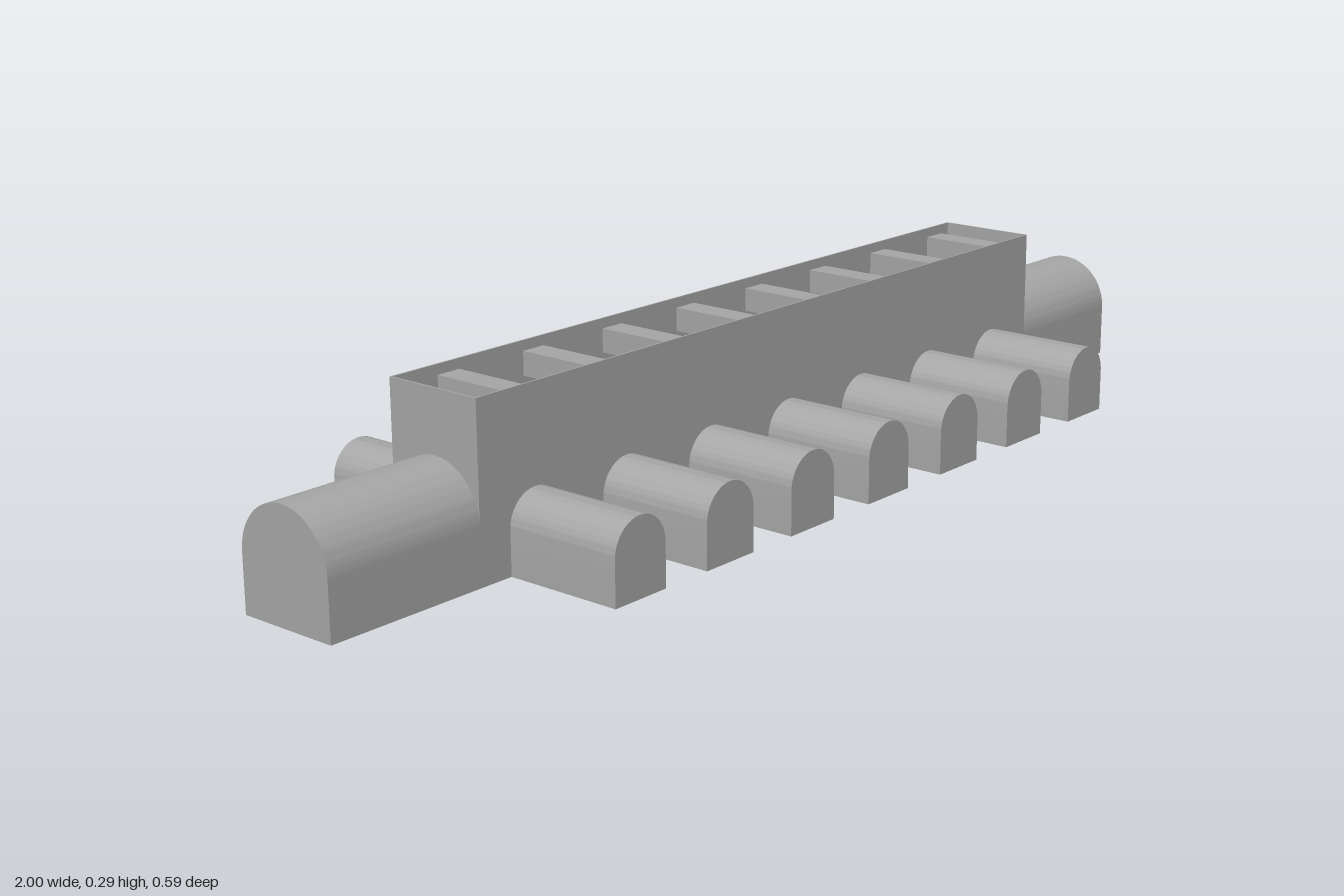
import * as THREE from 'three';
import { toCreasedNormals } from 'three/addons/utils/BufferGeometryUtils.js';

const HALF_LENGTH = 0.715, HALF_WIDTH = 0.09, HEIGHT = 0.287, WALL = 0.003;

// Straight-sided block with a half-round top, running along +z from z = 0
function archGeometry(radius, height, length) {
  const shape = new THREE.Shape();
  shape.moveTo(-radius, 0);
  shape.lineTo(radius, 0);
  shape.lineTo(radius, height - radius);
  shape.absarc(0, height - radius, radius, 0, Math.PI, false);
  shape.closePath();
  const geometry = new THREE.ExtrudeGeometry(shape, { depth: length, bevelEnabled: false, curveSegments: 32 });
  return toCreasedNormals(geometry, 0.5);
}

export function createModel() {
  const model = new THREE.Group();
  model.name = 'channelBlock';
  const grey = new THREE.MeshStandardMaterial({ color: 0xa6a6a6 });
  grey.name = 'grey';

  const add = (name, geometry, x, y, z, turn = 0) => {
    const mesh = new THREE.Mesh(geometry, grey);
    mesh.name = name;
    mesh.position.set(x, y, z);
    mesh.rotation.y = turn;
    model.add(mesh);
  };
  const box = (name, w, h, d, x, y, z) => add(name, new THREE.BoxGeometry(w, h, d), x, y + h / 2, z);

  // Open trough: floor, long walls and end walls
  box('floor', HALF_LENGTH * 2, 0.01, HALF_WIDTH * 2, 0, 0, 0);
  for (const side of [1, -1]) {
    box('longWall', HALF_LENGTH * 2, HEIGHT, WALL, 0, 0, side * (HALF_WIDTH - WALL / 2));
    box('endWall', WALL, HEIGHT, HALF_WIDTH * 2, side * (HALF_LENGTH - WALL / 2), 0, 0);
  }

  // Large arched ducts at both ends
  const duct = archGeometry(HALF_WIDTH, 0.184, 1 - HALF_LENGTH);
  for (const side of [1, -1]) add('endDuct', duct, side * HALF_LENGTH, 0, 0, side * Math.PI / 2);

  // Seven small arched ducts along each long side
  const stub = archGeometry(0.054, 0.127, 0.297 - HALF_WIDTH);
  for (let i = -3; i <= 3; i++) {
    add('sideDuct', stub, i * 0.2, 0, HALF_WIDTH);
    add('sideDuct', stub, i * 0.2, 0, -HALF_WIDTH, Math.PI);
  }

  // Cross bars just below the rim
  for (let i = 0; i < 8; i++) {
    box('crossBar', 0.045, 0.04, (HALF_WIDTH - WALL) * 2, -0.6 + i * 0.181, 0.23, 0);
  }

  // Small block in the middle of the floor
  box('centreBlock', 0.024, 0.024, 0.024, 0, 0.01, 0);

  return model;
}
